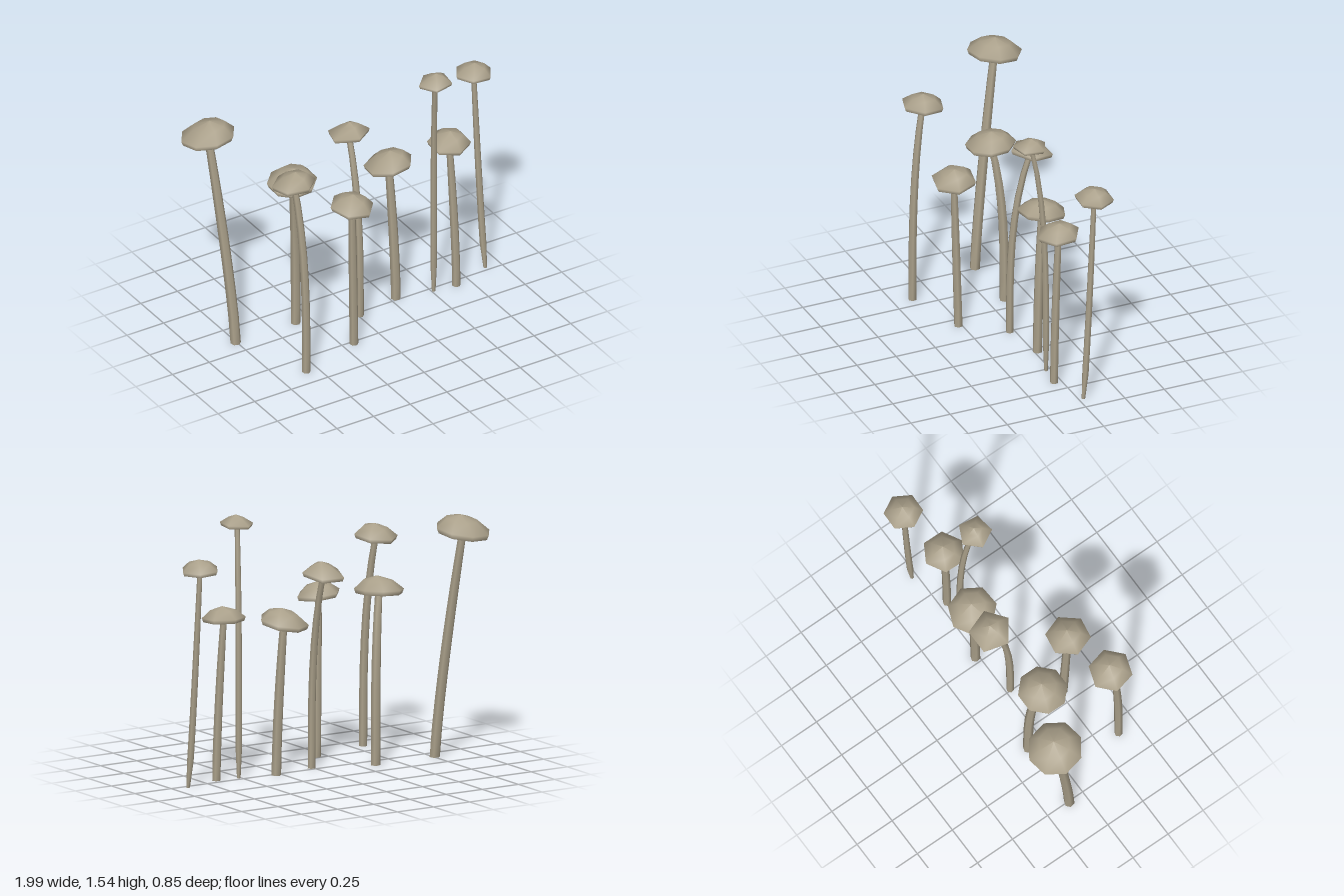
import * as THREE from 'three';

const fungus = new THREE.MeshStandardMaterial({ color: 0xaaa08a });
fungus.name = 'dull beige';

// Skin over rings [x, y, z, radius, slopeX, slopeZ]; a repeated ring makes a crease
function loft(rings, sides, turn) {
  const pos = [], index = [];
  for (const [x, y, z, r, sx = 0, sz = 0] of rings) {
    for (let j = 0; j < sides; j++) {
      const a = turn + (j / sides) * Math.PI * 2;
      const dx = Math.cos(a) * r, dz = Math.sin(a) * r;
      pos.push(x + dx, y + dx * sx + dz * sz, z + dz);
    }
  }
  for (let i = 0; i < rings.length - 1; i++) {
    for (let j = 0; j < sides; j++) {
      const k = (j + 1) % sides;
      const a = i * sides + j, b = i * sides + k, c = a + sides, d = b + sides;
      index.push(a, c, b, b, c, d);
    }
  }
  const g = new THREE.BufferGeometry();
  g.setAttribute('position', new THREE.Float32BufferAttribute(pos, 3));
  g.setIndex(index);
  g.computeVertexNormals();
  return g;
}

// Faceted cap: hollow underside, short lip, rounded crown; height follows the radius
function capGeometry({ cap: [x, y, z], r, tilt: [sx, sz], sides, turn }) {
  const h = r * 0.72;
  const ring = (radius, height, shift = 0) => {
    const ox = shift * r * 0.08;
    return [x + ox, y + height * h + ox * sx, z, r * radius, sx, sz];
  };
  const lip = ring(0.93, 0);
  return loft([
    ring(0, 0.22), ring(0.5, 0.16), lip, lip,
    ring(1, 0.26), ring(sides > 5 ? 0.58 : 0.45, 0.76, 0.7), ring(0, 1, 1),
  ], sides, THREE.MathUtils.degToRad(turn));
}

// Slender stem from the foot to the cap; a higher bend keeps it upright for longer
function stemGeometry({ cap: [x, y, z], foot: [fx, fz], thick, bend, pointed }) {
  const steps = 8, base = 0.01, top = y + 0.025;
  const rings = [];
  for (let i = 0; i <= steps; i++) {
    const t = i / steps, lean = t ** bend;
    const taper = pointed && i === 0 ? 0.55 : 1 - 0.25 * t ** 3;
    rings.push([
      THREE.MathUtils.lerp(fx, x, lean), THREE.MathUtils.lerp(base, top, t),
      THREE.MathUtils.lerp(fz, z, lean), thick * taper,
    ]);
  }
  return loft([[fx, base, fz, 0], rings[0], ...rings], 6, 0.3);
}

const mushrooms = [
  { cap: [-0.845, 1.35, -0.265], r: 0.163, tilt: [0.08, 0.13], sides: 8, turn: 12, foot: [-0.757, -0.1], thick: 0.031, bend: 1.25 },
  { cap: [-0.61, 1.248, 0.3], r: 0.13, tilt: [0.05, 0.1], sides: 6, turn: 18, foot: [-0.575, 0.382], thick: 0.025, bend: 3 },
  { cap: [-0.41, 1.01, -0.04], r: 0.148, tilt: [0.06, -0.05], sides: 8, turn: 22, foot: [-0.348, -0.1], thick: 0.029, bend: 3.2 },
  { cap: [-0.205, 0.952, 0.288], r: 0.133, tilt: [-0.1, -0.06], sides: 6, turn: 10, foot: [-0.18, 0.27], thick: 0.026, bend: 1 },
  { cap: [0.015, 1.168, -0.105], r: 0.128, tilt: [0.02, 0.17], sides: 5, turn: 90, foot: [0.01, 0.03], thick: 0.023, bend: 3.2 },
  { cap: [0.26, 0.9, -0.06], r: 0.145, tilt: [0.1, 0.14], sides: 7, turn: 8, foot: [0.286, -0.02], thick: 0.029, bend: 1.5 },
  { cap: [0.473, 1.481, 0.11], r: 0.102, tilt: [0.04, 0.03], sides: 5, turn: 260, foot: [0.513, 0.03], thick: 0.02, bend: 4, pointed: true },
  { cap: [0.633, 0.957, 0.005], r: 0.128, tilt: [0, -0.06], sides: 6, turn: 90, foot: [0.658, 0.045], thick: 0.025, bend: 1.5 },
  { cap: [0.873, 1.292, -0.112], r: 0.115, tilt: [-0.06, 0.04], sides: 6, turn: 2, foot: [0.902, -0.03], thick: 0.02, bend: 0.8, pointed: true },
];

export function createModel() {
  const group = new THREE.Group();
  group.name = 'mushroomCluster';
  mushrooms.forEach((spec, i) => {
    const mushroom = new THREE.Group();
    mushroom.name = `mushroom${i + 1}`;
    const cap = new THREE.Mesh(capGeometry(spec), fungus);
    cap.name = 'cap';
    const stem = new THREE.Mesh(stemGeometry(spec), fungus);
    stem.name = 'stem';
    mushroom.add(cap, stem);
    group.add(mushroom);
  });
  return group;
}
